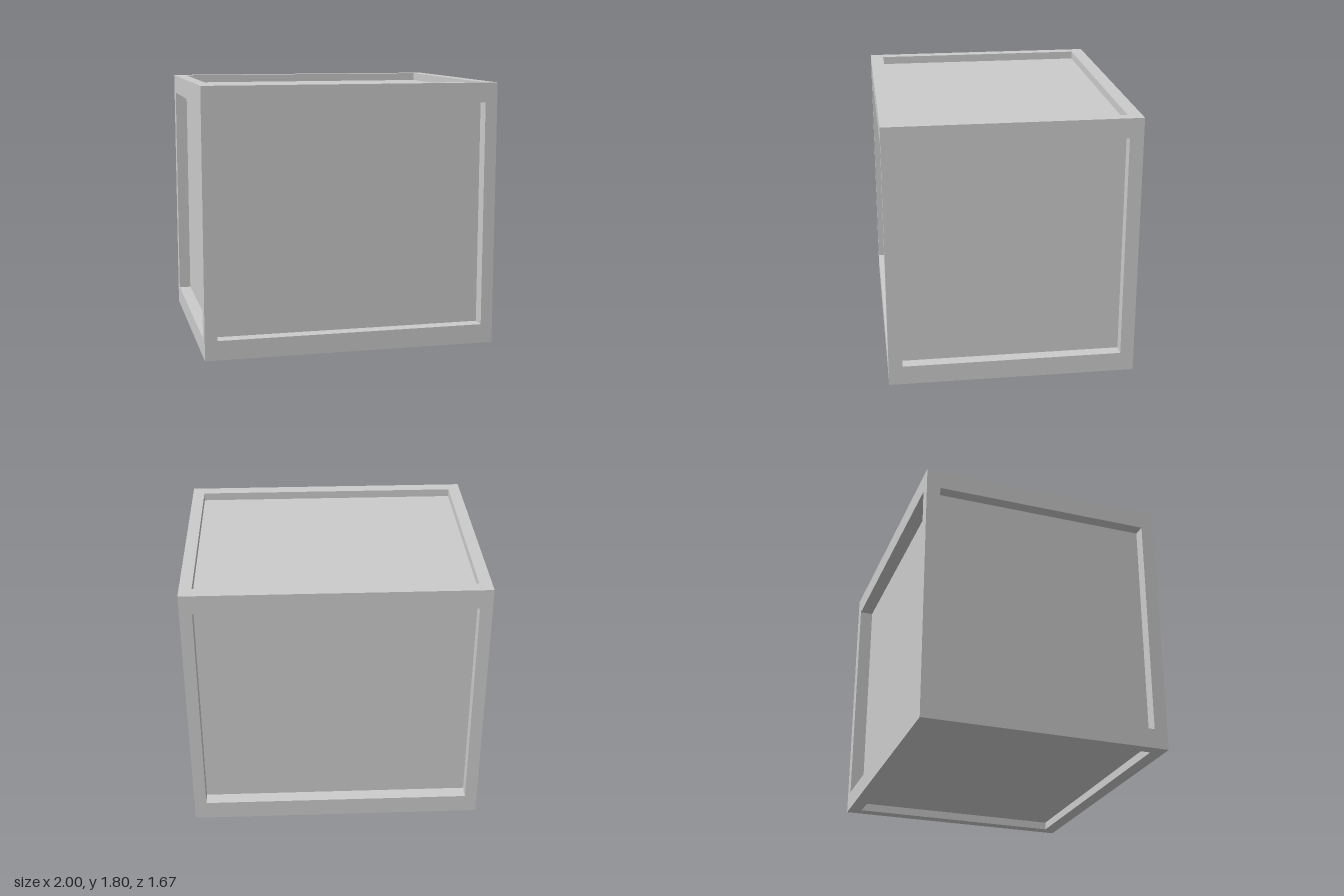
import * as THREE from 'three';

const W = 2, H = 1.8, D = 1.675;         // overall size
const FX = 0.083, FY = 0.132, FZ = 0.093; // frame widths along x, y, z
const RECESS_Y = 0.055;                   // depth of the top and bottom recess

export function createModel() {
  const group = new THREE.Group();
  group.name = 'crate';
  const material = new THREE.MeshStandardMaterial({ color: 0xcccccc, flatShading: true });

  const addBox = (name, w, h, d, x, y, z) => {
    const mesh = new THREE.Mesh(new THREE.BoxGeometry(w, h, d), material);
    mesh.name = name;
    mesh.position.set(x, y, z);
    group.add(mesh);
  };

  // Inner body, whose six faces are the recessed panels
  addBox('panelBody', W - 2 * FX, H - 2 * RECESS_Y, D - 2 * FZ, 0, H / 2, 0);

  const px = (W - FX) / 2, pz = (D - FZ) / 2;
  for (const sx of [-1, 1]) {
    // Corner posts
    for (const sz of [-1, 1]) addBox('cornerPost', FX, H, FZ, sx * px, H / 2, sz * pz);
    // Side rails, between the posts
    for (const y of [FY / 2, H - FY / 2]) addBox('sideRail', FX, FY, D - 2 * FZ, sx * px, y, 0);
  }
  // Front and back rails, between the posts
  for (const sz of [-1, 1])
    for (const y of [FY / 2, H - FY / 2]) addBox('crossRail', W - 2 * FX, FY, FZ, 0, y, sz * pz);

  return group;
}
